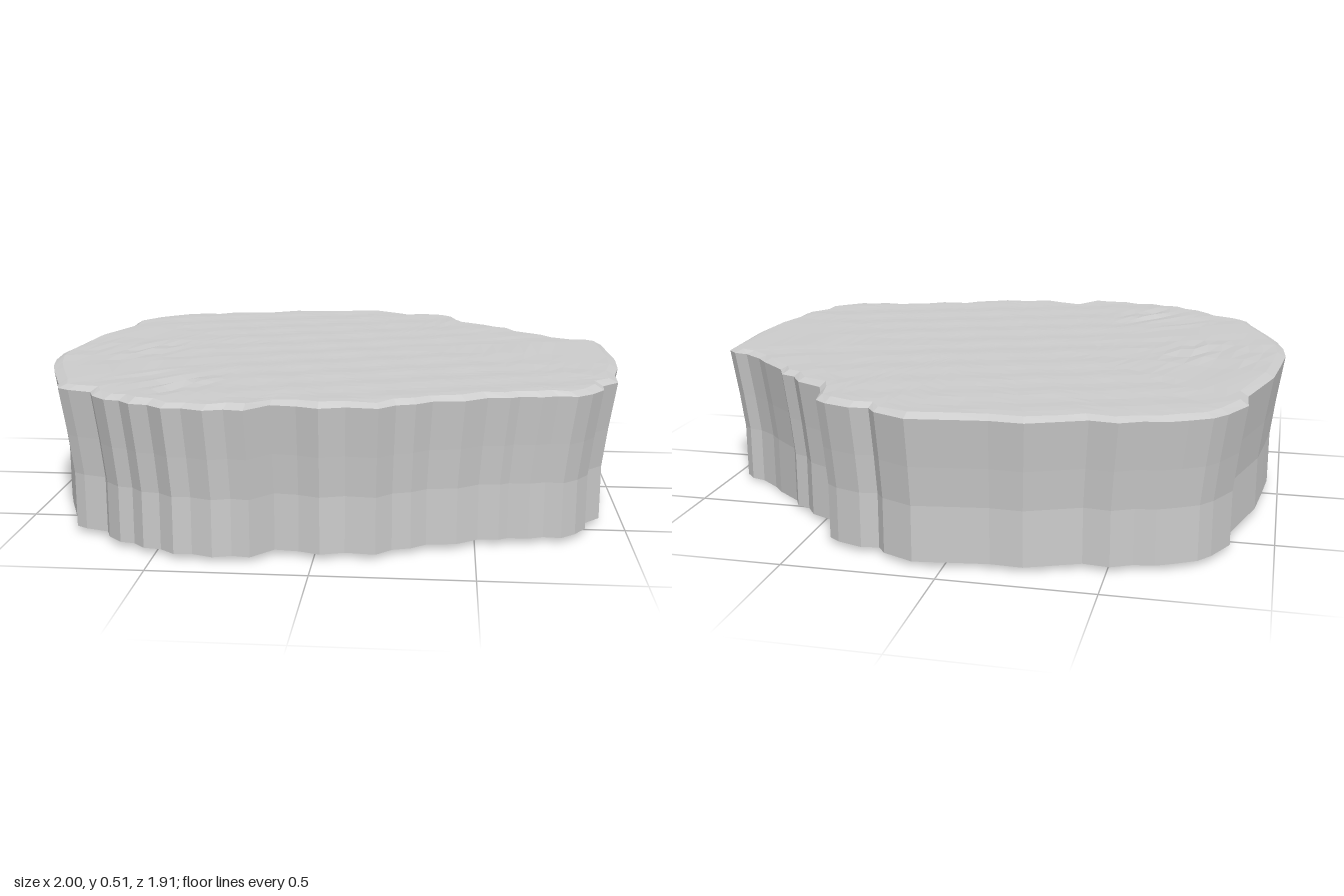
import * as THREE from 'three';

// Ragged rim outline as x, z pairs, running from the back round by the left (+x) side
const RIM = [
  0.10, -0.96, 0.21, -0.91, 0.24, -0.87, 0.30, -0.88, 0.39, -0.85, 0.43, -0.82, 0.45, -0.73, 0.475, -0.67,
  0.57, -0.62, 0.61, -0.56, 0.66, -0.54, 0.69, -0.48, 0.79, -0.39, 0.83, -0.345, 0.90, -0.295, 0.95, -0.285,
  0.985, -0.25, 1, 0.05, 0.99, 0.20, 0.965, 0.32, 0.96, 0.44, 0.905, 0.50, 0.90, 0.56, 0.86, 0.62,
  0.81, 0.665, 0.75, 0.66, 0.70, 0.68, 0.63, 0.68, 0.60, 0.70, 0.53, 0.705, 0.46, 0.755, 0.36, 0.77,
  0.31, 0.81, 0.25, 0.83, 0.20, 0.88, 0.10, 0.87, 0.02, 0.895, -0.05, 0.87, -0.13, 0.86, -0.20, 0.94,
  -0.26, 0.93, -0.32, 0.95, -0.39, 0.925, -0.45, 0.93, -0.50, 0.89, -0.56, 0.88, -0.60, 0.84, -0.65, 0.83,
  -0.70, 0.78, -0.72, 0.73, -0.80, 0.705, -0.84, 0.68, -0.86, 0.61, -0.93, 0.43, -0.965, 0.33, -0.99, 0.22,
  -1, 0.10, -0.985, -0.05, -0.965, -0.22, -0.89, -0.48, -0.895, -0.59, -0.84, -0.70, -0.80, -0.75, -0.73, -0.79,
  -0.67, -0.82, -0.60, -0.83, -0.53, -0.865, -0.44, -0.855, -0.38, -0.88, -0.26, -0.93, -0.15, -0.925, -0.04, -0.94,
];
const COUNT = RIM.length / 2;

// Gentle relief of the top face, with two rougher patches
function topHeight(x, z) {
  const patch = (cx, cz, r) => Math.exp(-((x - cx) ** 2 + (z - cz) ** 2) / (r * r));
  const ripple = Math.sin(17 * x + 9 * z) * Math.sin(23 * z - 6 * x + 1);
  const rough = patch(-0.72, 0.07, 0.14) + patch(-0.5, 0.62, 0.14);
  return 0.502 + 0.003 * ripple + 0.007 * rough * Math.sin(40 * (x + z));
}

// Underside edge, dipping slightly at the back-left corner
const baseHeight = (x, z) => 0.016 - 0.016 * Math.exp(-((x - 0.75) ** 2 + (z + 0.35) ** 2) / 0.05);

// Joins scaled copies of the outline; each ring is [scale, height function]
function loft(rings) {
  const pos = [], index = [];
  rings.forEach(([s, height], r) => {
    for (let j = 0; j < COUNT; j++) {
      const x = RIM[2 * j] * s, z = RIM[2 * j + 1] * s;
      pos.push(x, height(x, z), z);
      if (r === 0) continue;
      const k = (j + 1) % COUNT, a = (r - 1) * COUNT, b = r * COUNT;
      index.push(a + j, b + j, b + k, a + j, b + k, a + k);
    }
  });
  const geo = new THREE.BufferGeometry();
  geo.setAttribute('position', new THREE.Float32BufferAttribute(pos, 3));
  geo.setIndex(index);
  geo.computeVertexNormals();
  return geo;
}

export function createModel() {
  const group = new THREE.Group();
  group.name = 'rockSlab';
  const material = new THREE.MeshStandardMaterial({ color: 0xcccccc, flatShading: true, side: THREE.DoubleSide });
  const add = (name, rings) => {
    const mesh = new THREE.Mesh(loft(rings), material);
    mesh.name = name;
    group.add(mesh);
  };

  // Side wall: upright below, flaring out to the rim; open underneath
  const rimHeight = () => 0.488;
  add('sideWall', [[0.96, baseHeight], [0.96, () => 0.2], [0.976, () => 0.33], [1, rimHeight]]);

  // Top face: small bevel, then rings closing in on the centre
  const topRings = [[1, rimHeight]];
  const steps = 20;
  for (let i = 0; i < steps; i++) topRings.push([0.97 * (1 - i / steps), topHeight]);
  topRings.push([0.001, topHeight]);
  add('topFace', topRings);

  return group;
}
